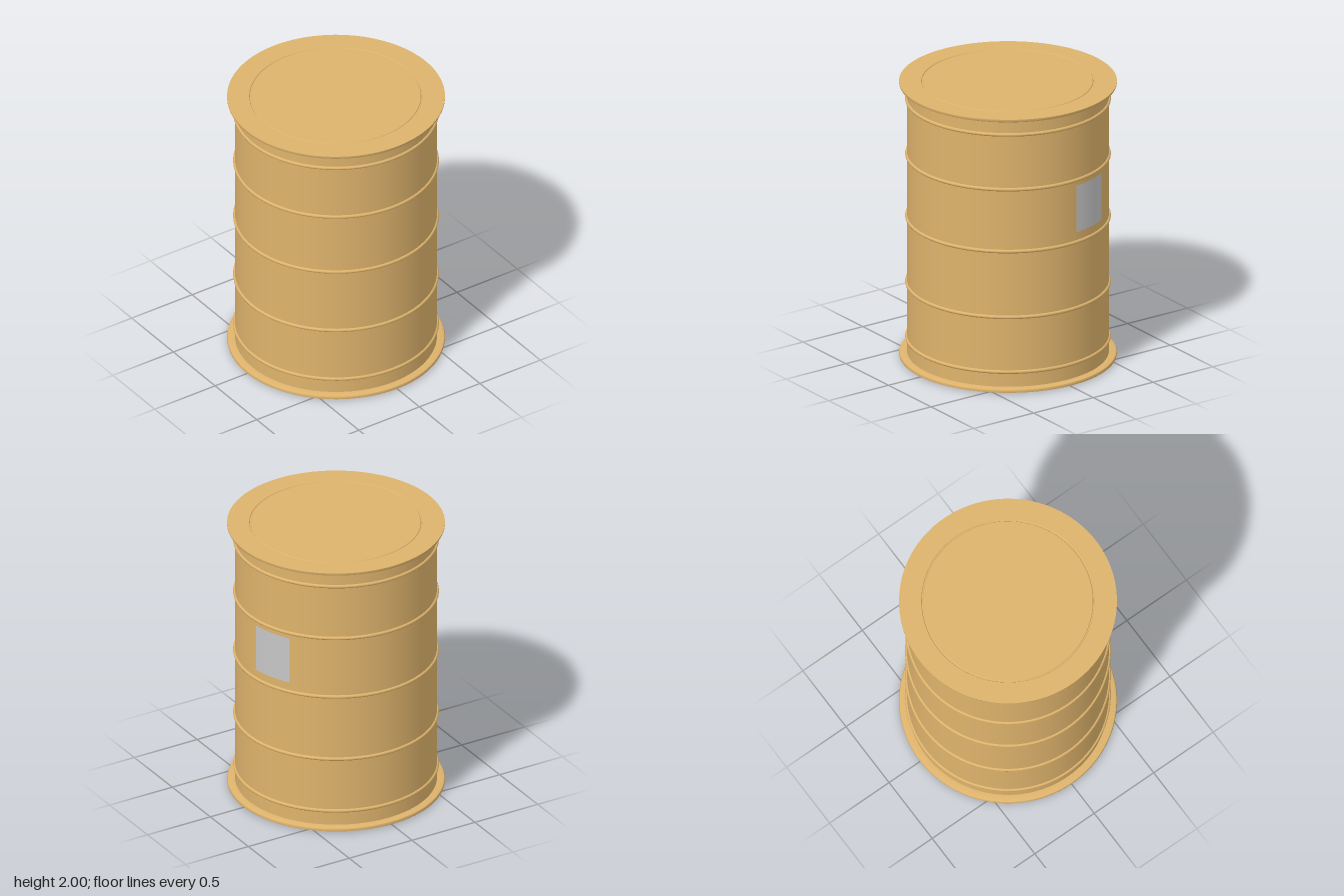
import * as THREE from 'three';
import { toCreasedNormals } from 'three/addons/utils/BufferGeometryUtils.js';

const SIDES = 96;
const WALL = 0.688;

export function createModel() {
  const drum = new THREE.Group();
  drum.name = 'drum';

  const tan = new THREE.MeshStandardMaterial({ color: 0xdeb36c });
  tan.name = 'tan paint';
  const grey = new THREE.MeshStandardMaterial({ color: 0xc6c6c6, side: THREE.DoubleSide });
  grey.name = 'grey label';

  const add = (name, geometry, material = tan) => {
    const mesh = new THREE.Mesh(geometry, material);
    mesh.name = name;
    drum.add(mesh);
    return mesh;
  };

  // Turned part from [radius, height] pairs, listed bottom to top
  const turned = (name, profile) => {
    const points = profile.map(([r, y]) => new THREE.Vector2(r, y));
    add(name, toCreasedNormals(new THREE.LatheGeometry(points, SIDES), 0.6));
  };

  // Straight side wall
  const wall = add('wall', new THREE.CylinderGeometry(WALL, WALL, 1.96, SIDES, 1, true));
  wall.position.y = 1;

  // Base with a wide flange, rounded on its upper edge
  turned('baseFlange', [
    [0, 0], [0.7, 0], [0.74, 0.006], [0.742, 0.018], [0.738, 0.027], [0.728, 0.031], [WALL - 0.01, 0.031],
  ]);

  // Lid with a wide flange and a shallow circular groove
  turned('lid', [
    [WALL - 0.01, 1.977], [0.73, 1.977], [0.738, 1.981], [0.742, 1.99], [0.742, 2],
    [0.591, 2], [0.587, 1.994], [0.581, 1.994], [0.577, 2], [0, 2],
  ]);

  // Rolled hoops around the wall
  for (const y of [0.138, 0.538, 1.018, 1.47, 1.87]) {
    const hoop = add('hoop', new THREE.TorusGeometry(WALL, 0.013, 10, SIDES));
    hoop.rotation.x = Math.PI / 2;
    hoop.position.y = y;
  }

  // Curved label on the side
  const start = THREE.MathUtils.degToRad(96.7);
  const sweep = THREE.MathUtils.degToRad(24.8);
  const label = add('label', new THREE.CylinderGeometry(0.692, 0.692, 0.34, 8, 1, true, start, sweep), grey);
  label.position.y = 1.26;

  return drum;
}
